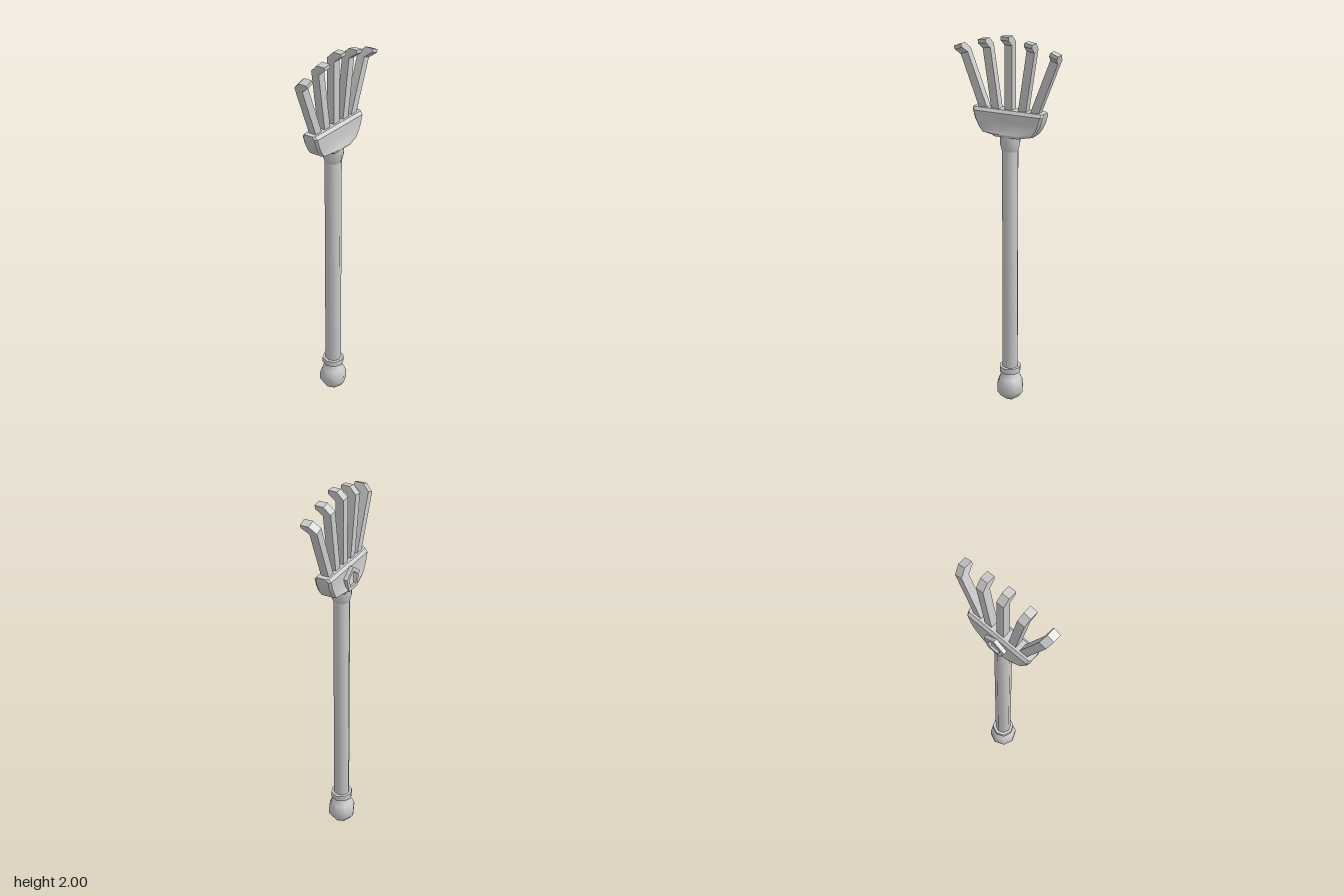
import * as THREE from 'three';
import { toCreasedNormals } from 'three/addons/utils/BufferGeometryUtils.js';

const material = new THREE.MeshStandardMaterial({ color: 0xcccccc });

function part(name, geometry, crease = 0.9) {
  const mesh = new THREE.Mesh(toCreasedNormals(geometry, crease), material);
  mesh.name = name;
  return mesh;
}

// Eight-sided turned part from [radius, y] pairs, bottom to top
function turned(name, profile) {
  return part(name, new THREE.LatheGeometry(profile.map(([r, y]) => new THREE.Vector2(r, y)), 8));
}

// Outline in x/y, extruded along z and centred
function slab(shape, depth) {
  return new THREE.ExtrudeGeometry(shape, { depth, bevelEnabled: false }).translate(0, 0, -depth / 2);
}

// Palm: stacked cross-sections [y, half x, half z, bulge at the middle]
function palmGeometry() {
  const rows = [
    [1.5, 0.035, 0.085, 0.02],
    [1.512, 0.045, 0.14, 0.013],
    [1.535, 0.045, 0.158, 0.003],
    [1.575, 0.045, 0.178, 0],
    [1.617, 0.045, 0.19, 0],
    [1.632, 0.032, 0.192, 0],
  ];
  const positions = [];
  const index = [];
  let n = 0;
  for (const [y, hx, hz, bulge] of rows) {
    const half = [[hx - 0.012, hz], [hx, hz - 0.01], [hx + bulge, 0.065], [hx + bulge, -0.065], [hx, 0.01 - hz], [hx - 0.012, -hz]];
    const ring = [...half, ...half.map(([x, z]) => [-x, -z])];
    n = ring.length;
    for (const [x, z] of ring) positions.push(x, y, z);
  }
  for (let r = 0; r < rows.length - 1; r++) {
    for (let i = 0; i < n; i++) {
      const a = r * n + i, b = r * n + (i + 1) % n;
      index.push(a, b, b + n, a, b + n, a + n);
    }
  }
  // Bottom and top caps
  const top = (rows.length - 1) * n;
  for (let i = 1; i < n - 1; i++) {
    index.push(0, i + 1, i, top, top + i, top + i + 1);
  }
  const geometry = new THREE.BufferGeometry();
  geometry.setAttribute('position', new THREE.Float32BufferAttribute(positions, 3));
  geometry.setIndex(index);
  return geometry;
}

// Finger: straight stem with a hooked tip, leaning sideways
function finger(name, z, angle, length) {
  const outline = [
    [-0.021, -0.03], [0.021, -0.03], [0.021, length - 0.048], [0.06, length - 0.018],
    [0.06, length], [0.015, length], [-0.021, length - 0.035],
  ];
  const shape = new THREE.Shape(outline.map(([x, y]) => new THREE.Vector2(x, y)));
  const mesh = part(name, slab(shape, 0.042), 0.3);
  mesh.position.set(0, 1.63, z);
  mesh.rotation.x = angle;
  return mesh;
}

function pentagon(radius) {
  return Array.from({ length: 5 }, (_, i) => {
    const a = Math.PI / 2 + i * Math.PI * 2 / 5;
    return new THREE.Vector2(Math.cos(a) * radius, Math.sin(a) * radius);
  });
}

export function createModel() {
  const group = new THREE.Group();
  group.name = 'backScratcher';

  // Handle, from the knob up to the neck
  group.add(turned('knob', [
    [0, 0], [0.025, 0], [0.05, 0.018], [0.073, 0.05], [0.074, 0.095], [0.06, 0.132], [0.043, 0.152], [0.04, 0.175],
  ]));
  group.add(turned('collar', [[0, 0.17], [0.059, 0.17], [0.059, 0.202], [0, 0.202]]));
  group.add(turned('handle', [[0.043, 0.17], [0.043, 1.45]]));
  group.add(turned('neck', [[0.043, 1.42], [0.053, 1.455], [0.055, 1.502], [0, 1.502]]));

  group.add(part('palm', palmGeometry(), 0.6));

  // Five-sided raised frame on the back of the palm
  const frame = new THREE.Shape(pentagon(0.066));
  frame.holes.push(new THREE.Path(pentagon(0.042).reverse()));
  const ornament = part('pentagonFrame', slab(frame, 0.03), 0.3);
  ornament.rotation.y = -Math.PI / 2;
  ornament.position.set(-0.05, 1.556, 0);
  group.add(ornament);

  // Fan of hooked fingers
  group.add(finger('middleFinger', 0, 0, 0.37));
  for (const side of [1, -1]) {
    const label = side > 0 ? 'front' : 'back';
    group.add(finger(label + 'InnerFinger', side * 0.073, side * 0.147, 0.351));
    group.add(finger(label + 'OuterFinger', side * 0.14, side * 0.365, 0.33));
  }
  return group;
}
